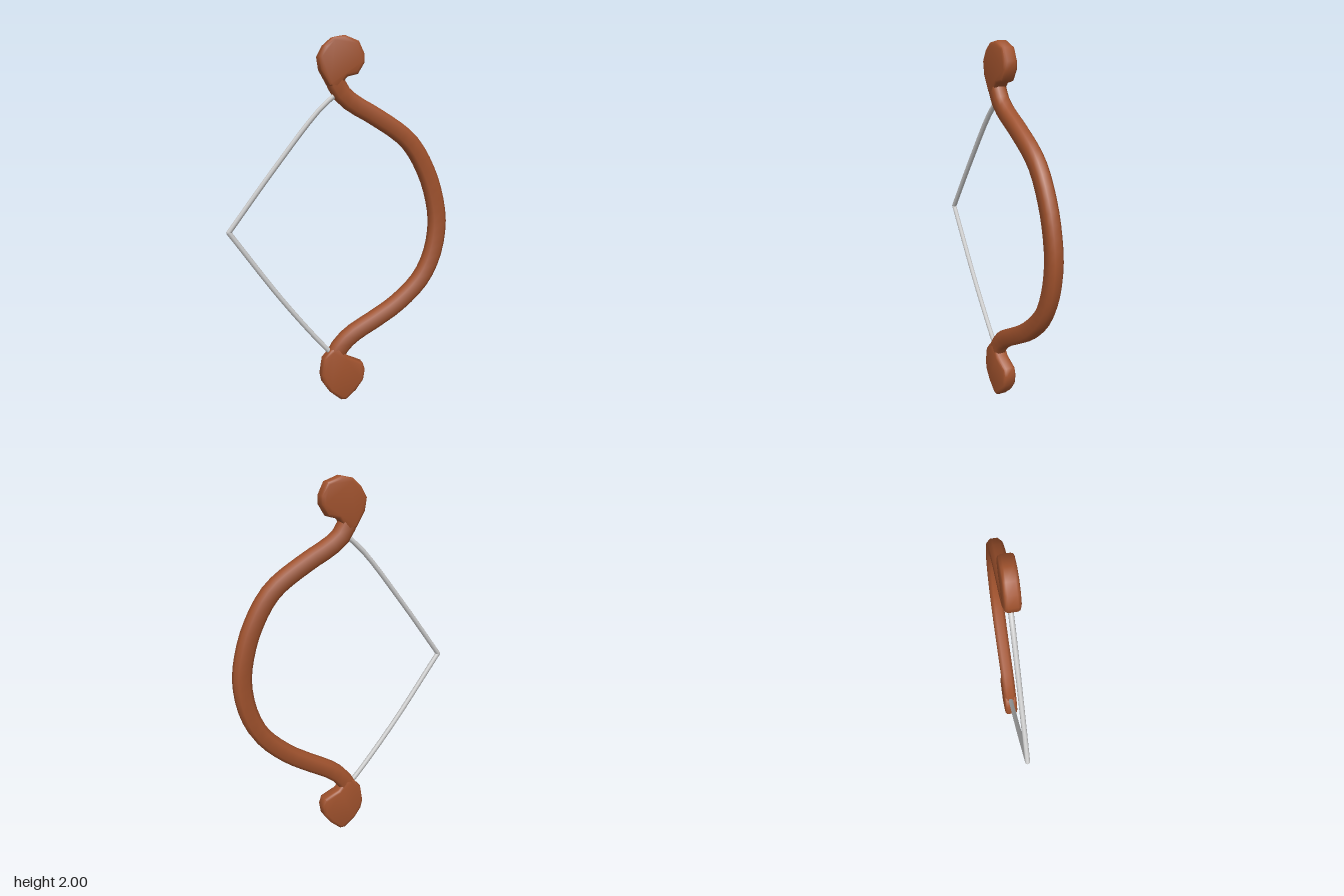
import * as THREE from 'three';
import { toCreasedNormals } from 'three/addons/utils/BufferGeometryUtils.js';

const wood = new THREE.MeshStandardMaterial({ color: 0xa0522d });
const cord = new THREE.MeshStandardMaterial({ color: 0xcccccc });
const DEPTH = 0.076;
const MID_Z = -0.002;

const curveThrough = (points) =>
  new THREE.CatmullRomCurve3(points.map(([x, y]) => new THREE.Vector3(x, y, 0)), false, 'centripetal');

function addMesh(group, name, geometry, material) {
  const mesh = new THREE.Mesh(geometry, material);
  mesh.name = name;
  mesh.position.z = MID_Z;
  group.add(mesh);
}

// Sweeps a bevelled rectangular section along a curve lying in the xy plane
function sweepLimb(curve, width, depth, bevel, steps) {
  const a = width / 2, b = depth / 2, c = bevel;
  const section = [
    [a, -b + c], [a, b - c], [a - c, b], [-a + c, b],
    [-a, b - c], [-a, -b + c], [-a + c, -b], [a - c, -b],
  ];
  const n = section.length;
  const positions = [], index = [];
  for (let i = 0; i <= steps; i++) {
    const p = curve.getPointAt(i / steps);
    const t = curve.getTangentAt(i / steps);
    for (const [u, z] of section) positions.push(p.x + t.y * u, p.y - t.x * u, z);
  }
  for (let i = 0; i < steps; i++) {
    for (let j = 0; j < n; j++) {
      const p = i * n + j, q = i * n + (j + 1) % n;
      index.push(p, p + n, q, q, p + n, q + n);
    }
  }
  // End caps
  const last = steps * n;
  for (let j = 1; j < n - 1; j++) {
    index.push(0, j, j + 1, last, last + j + 1, last + j);
  }
  const geometry = new THREE.BufferGeometry();
  geometry.setAttribute('position', new THREE.Float32BufferAttribute(positions, 3));
  geometry.setIndex(index);
  // Orient the faces outwards: the sweep runs from top to bottom
  for (let k = 0; k < index.length; k += 3) [index[k + 1], index[k + 2]] = [index[k + 2], index[k + 1]];
  geometry.setIndex(orientOutward(geometry, index));
  return toCreasedNormals(geometry, 0.9);
}

// Reverses the winding of a closed surface if its signed volume is negative
function orientOutward(geometry, index) {
  const pos = geometry.attributes.position;
  const [a, b, c] = [new THREE.Vector3(), new THREE.Vector3(), new THREE.Vector3()];
  let volume = 0;
  for (let k = 0; k < index.length; k += 3) {
    a.fromBufferAttribute(pos, index[k]);
    b.fromBufferAttribute(pos, index[k + 1]);
    c.fromBufferAttribute(pos, index[k + 2]);
    volume += a.dot(b.cross(c));
  }
  return volume < 0 ? index.slice().reverse() : index;
}

// Flat rounded knob with a softened rim
function knobGeometry(outline) {
  const bevel = 0.016;
  const shape = new THREE.Shape(outline.map(([x, y]) => new THREE.Vector2(x, y)));
  const geometry = new THREE.ExtrudeGeometry(shape, {
    depth: DEPTH - 2 * bevel, bevelEnabled: true, bevelThickness: bevel,
    bevelSize: bevel, bevelOffset: -bevel, bevelSegments: 2,
  });
  geometry.translate(0, 0, -(DEPTH - 2 * bevel) / 2);
  return toCreasedNormals(geometry, 0.9);
}

export function createModel() {
  const group = new THREE.Group();
  group.name = 'bow';

  // Curved limb from the upper neck to the lower neck
  const limb = curveThrough([
    [-0.04, 1.80], [-0.02, 1.745], [0.02, 1.685], [0.09, 1.635], [0.2, 1.575],
    [0.395, 1.44], [0.505, 1.265], [0.558, 1.1], [0.573, 0.97], [0.545, 0.8],
    [0.475, 0.66], [0.335, 0.527], [0.2, 0.443], [0.08, 0.375], [0.01, 0.315],
    [-0.035, 0.24], [-0.045, 0.19],
  ]);
  addMesh(group, 'limb', sweepLimb(limb, 0.095, DEPTH - 0.001, 0.018, 36), wood);

  // Knobs at the two tips
  addMesh(group, 'upperKnob', knobGeometry([
    [-0.125, 1.887], [-0.114, 1.818], [-0.066, 1.735], [-0.02, 1.72], [0.035, 1.785],
    [0.093, 1.80], [0.13, 1.86], [0.13, 1.905], [0.098, 1.971], [0.019, 2.0],
    [-0.045, 1.987], [-0.093, 1.945],
  ]), wood);
  addMesh(group, 'lowerKnob', knobGeometry([
    [-0.114, 0.154], [-0.103, 0.106], [-0.066, 0.053], [0, 0.0], [0.03, 0.0],
    [0.087, 0.048], [0.13, 0.106], [0.14, 0.164], [0.125, 0.207], [0.04, 0.245],
    [-0.01, 0.31], [-0.056, 0.295], [-0.1, 0.244],
  ]), wood);

  // Drawn string, two slightly bowed halves meeting at a point
  const halves = {
    upperString: [[0.0, 1.71], [-0.11, 1.615], [-0.36, 1.305], [-0.607, 0.975]],
    lowerString: [[-0.03, 0.25], [-0.09, 0.31], [-0.32, 0.585], [-0.607, 0.975]],
  };
  for (const [name, points] of Object.entries(halves)) {
    addMesh(group, name, new THREE.TubeGeometry(curveThrough(points), 12, 0.0135, 8), cord);
  }
  const nock = new THREE.SphereGeometry(0.0135, 8, 6);
  nock.translate(-0.607, 0.975, 0);
  addMesh(group, 'stringNock', nock, cord);

  return group;
}
